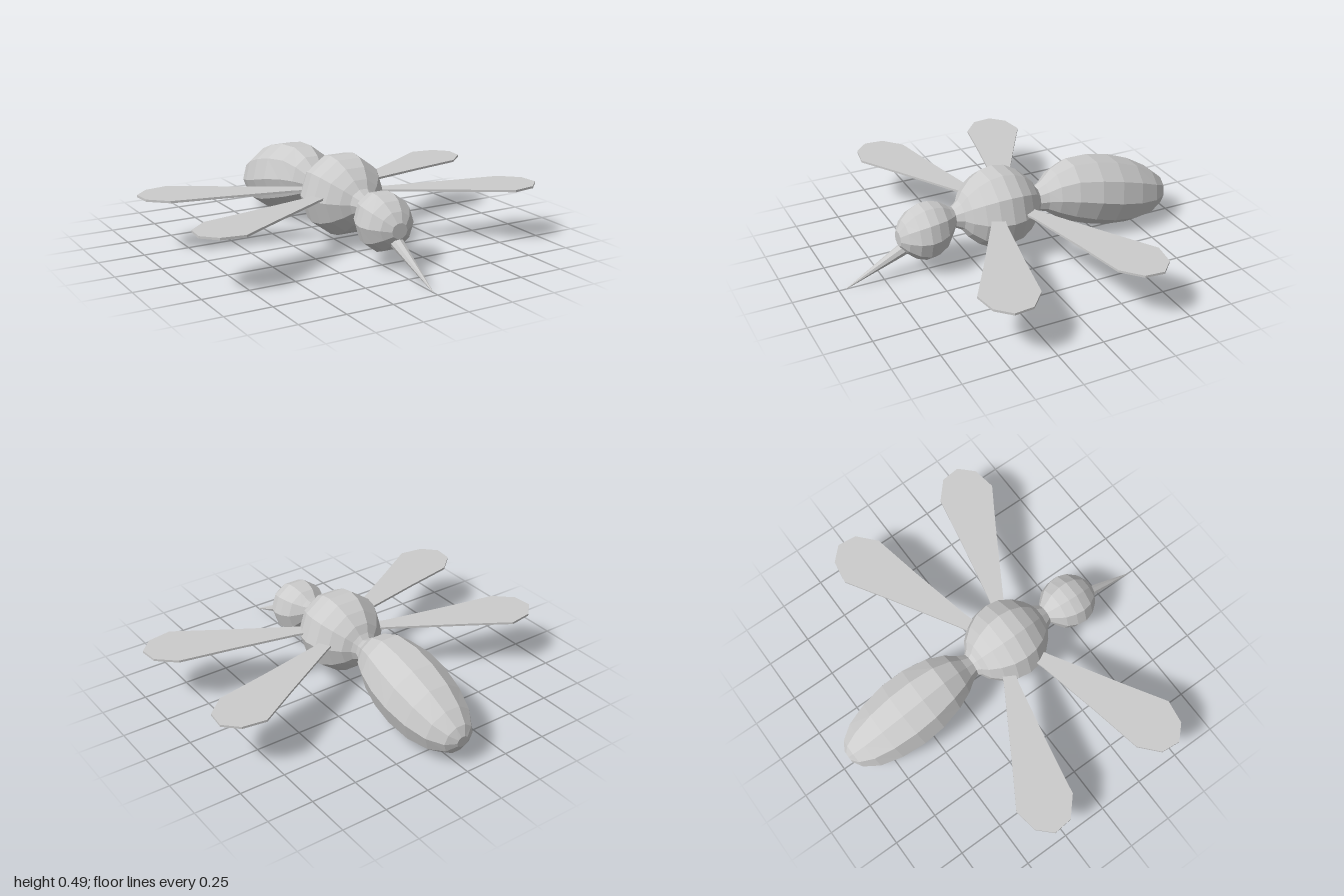
import * as THREE from 'three';

const SIDES = 10;
const body = new THREE.MeshStandardMaterial({ color: 0xcccccc, flatShading: true });
const wingMat = new THREE.MeshStandardMaterial({ color: 0xcccccc, flatShading: true, side: THREE.DoubleSide });

// Ten-sided skin over rings running rear to front: [zTop, yTop, zBottom, yBottom, halfWidth]
function loft(name, rings) {
  const pos = [], index = [];
  const flat = Math.cos(Math.PI / SIDES); // a flat side sits on top of every ring
  for (const [zt, yt, zb, yb, rx] of rings) {
    for (let j = 0; j < SIDES; j++) {
      const a = ((j + 0.5) / SIDES) * Math.PI * 2;
      const c = Math.cos(a) / flat / 2;
      pos.push(rx * Math.sin(a), (yt + yb) / 2 + (yt - yb) * c, (zt + zb) / 2 + (zt - zb) * c);
    }
  }
  for (let i = 0; i < rings.length - 1; i++) {
    for (let j = 0; j < SIDES; j++) {
      const k = (j + 1) % SIDES;
      const a = i * SIDES + j, b = i * SIDES + k;
      index.push(a, a + SIDES, b, b, a + SIDES, b + SIDES);
    }
  }
  // End caps
  const last = (rings.length - 1) * SIDES;
  for (let j = 1; j < SIDES - 1; j++) {
    index.push(0, j, j + 1, last, last + j + 1, last + j);
  }
  const geo = new THREE.BufferGeometry();
  geo.setAttribute('position', new THREE.Float32BufferAttribute(pos, 3));
  geo.setIndex(index);
  geo.computeVertexNormals();
  const mesh = new THREE.Mesh(geo, body);
  mesh.name = name;
  return mesh;
}

// Upright ring around a centre height
const ring = (z, y, r) => {
  const h = r * Math.cos(Math.PI / SIDES);
  return [z, y + h, z, y - h, r];
};

// Thin paddle wing; side = 1 left, -1 right; dir = 1 front, -1 rear
function wing(name, side, dir) {
  const outline = [
    [0.15, 0.05], [0.25, 0.08], [0.6, 0.155], [0.885, 0.21], [0.985, 0.3],
    [0.995, 0.405], [0.92, 0.48], [0.79, 0.5], [0.57, 0.365], [0.2, 0.145], [0.15, 0.12],
  ];
  const shape = new THREE.Shape(outline.map(([x, z]) => new THREE.Vector2(side * x, dir * z)));
  const geo = new THREE.ExtrudeGeometry(shape, { depth: 0.012, bevelEnabled: false });
  geo.rotateX(Math.PI / 2);
  const mesh = new THREE.Mesh(geo, wingMat);
  mesh.name = name;
  mesh.position.set(0, 0.306, 0.072);
  return mesh;
}

export function createModel() {
  const model = new THREE.Group();
  model.name = 'flyingInsect';

  // Long drooping abdomen
  model.add(loft('abdomen', [
    [-0.955, 0.185, -0.95, 0.125, 0.035],
    [-0.93, 0.235, -0.91, 0.07, 0.09],
    [-0.86, 0.295, -0.82, 0.033, 0.145],
    [-0.75, 0.36, -0.69, 0.02, 0.182],
    [-0.62, 0.41, -0.55, 0.04, 0.2],
    [-0.49, 0.44, -0.43, 0.075, 0.195],
    [-0.35, 0.447, -0.32, 0.115, 0.165],
    [-0.25, 0.41, -0.24, 0.16, 0.125],
    [-0.19, 0.36, -0.19, 0.195, 0.085],
    [-0.145, 0.337, -0.145, 0.205, 0.065],
  ]));

  // Round thorax, narrowing to a waist and a neck
  model.add(loft('thorax', [
    [-0.145, 0.337, -0.145, 0.205, 0.065],
    ring(-0.125, 0.278, 0.085), ring(-0.1, 0.28, 0.128), ring(-0.045, 0.28, 0.178),
    ring(0.02, 0.28, 0.214), ring(0.09, 0.28, 0.226), ring(0.16, 0.28, 0.214),
    ring(0.225, 0.28, 0.178), ring(0.28, 0.28, 0.125), ring(0.31, 0.28, 0.08),
    ring(0.35, 0.277, 0.055),
  ]));

  // Small round head
  model.add(loft('head', [
    ring(0.35, 0.277, 0.055),
    [0.375, 0.342, 0.375, 0.185, 0.08],
    [0.42, 0.37, 0.42, 0.12, 0.123],
    [0.475, 0.382, 0.475, 0.09, 0.146],
    [0.525, 0.38, 0.525, 0.085, 0.152],
    [0.58, 0.357, 0.58, 0.105, 0.135],
    [0.63, 0.315, 0.63, 0.145, 0.095],
    [0.662, 0.265, 0.662, 0.185, 0.045],
  ]));

  // Needle proboscis pointing forward and down
  const base = new THREE.Vector3(0, 0.185, 0.58);
  const dir = new THREE.Vector3(0, 0.002, 0.96).sub(base);
  const needle = new THREE.Mesh(new THREE.CylinderGeometry(0.002, 0.04, dir.length(), 8), body);
  needle.name = 'proboscis';
  needle.position.copy(base).addScaledVector(dir, 0.5);
  needle.quaternion.setFromUnitVectors(new THREE.Vector3(0, 1, 0), dir.clone().normalize());
  model.add(needle);

  // Two pairs of wings
  for (const [label, side] of [['Left', 1], ['Right', -1]]) {
    model.add(wing('front' + label + 'Wing', side, 1), wing('rear' + label + 'Wing', side, -1));
  }
  return model;
}
